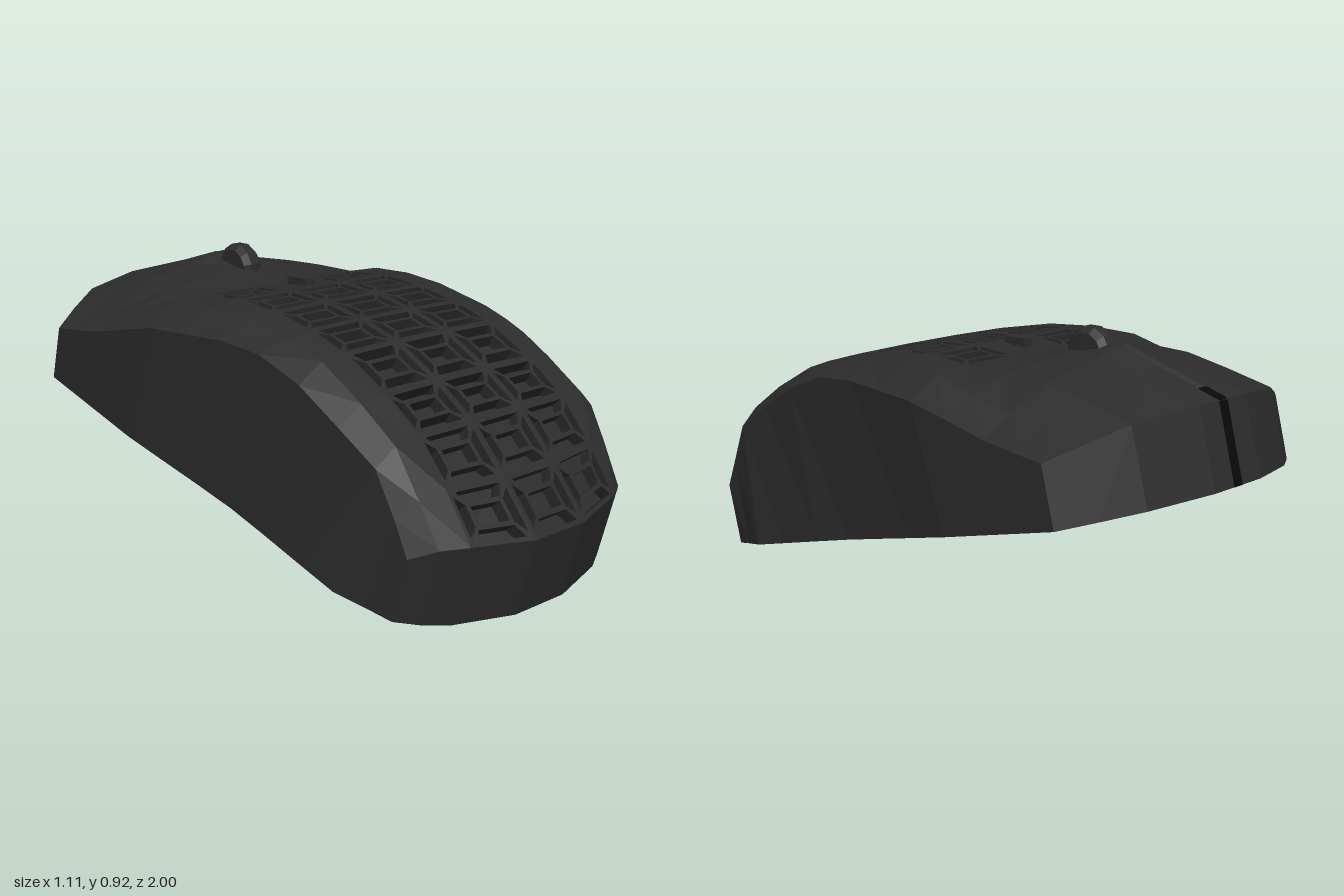
import * as THREE from 'three';
import { mergeGeometries } from 'three/addons/utils/BufferGeometryUtils.js';

// Local frame: s runs along the flat base from rear (0) to button end (2), h is height above the base.
const RIDGE = [[0, .26], [.166, .38], [.328, .481], [.488, .536], [.675, .578], [.832, .582], [.994, .569],
  [1.165, .535], [1.33, .478], [1.495, .468], [1.66, .461], [1.82, .363], [2, .253]];
const INNER = [[.057, .264], [.19, .378], [.335, .476], [.488, .532], [.675, .574], [.832, .578], [.994, .566],
  [1.165, .533], [1.33, .477], [1.49, .435], [1.645, .388], [1.785, .32], [1.933, .243]];
const SHOULDER = [[.41, .1, .25], [.42, .2, .355], [.42, .328, .465], [.42, .488, .52], [.415, .675, .565],
  [.415, .832, .57], [.42, .994, .56], [.44, 1.165, .525], [.46, 1.33, .472], [.46, 1.47, .395],
  [.46, 1.6, .325], [.45, 1.73, .27], [.45, 1.86, .215]];
const EDGE = [[.475, .152, .21], [.478, .227, .3], [.487, .325, .41], [.495, .488, .46], [.503, .66, .51],
  [.51, .84, .526], [.522, 1, .499], [.54, 1.15, .455], [.555, 1.3, .41], [.555, 1.45, .335],
  [.555, 1.58, .27], [.555, 1.69, .225], [.555, 1.787, .189]];
const BASE = [[.475, .152], [.495, .227], [.53, .343], [.527, .488], [.522, .675], [.52, .832], [.53, .994],
  [.543, 1.165], [.555, 1.333], [.555, 1.45], [.555, 1.58], [.555, 1.69], [.555, 1.787]];
const CROWN = { 9: .458, 10: .427, 11: .35 };   // height at x = 0.11 where the buttons fall away
const LAST = RIDGE.length - 1;
const TILT = 0.2656;

// Half cross-sections from the centre line out to the base edge, as [x, s, h]
const rows = RIDGE.map(([s, h], i) => [
  [0, s, i > 8 ? h - .02 : h],                  // split between the buttons
  [.015, s, h],
  [.11, s, CROWN[i] ?? h],
  [.33, ...INNER[i]],
  SHOULDER[i],
  EDGE[i],
  [...BASE[i], 0],
]);

const toLocal = ([x, s, h], side = 1) => [x * side, h, -s];

function quad(out, a, b, c, d, side) {
  const p = [a, b, c, d].map(v => toLocal(v, side));
  const order = side > 0 ? [0, 1, 2, 0, 2, 3] : [0, 2, 1, 0, 3, 2];
  for (const k of order) out.push(...p[k]);
}

function flatGeometry(positions) {
  const g = new THREE.BufferGeometry();
  g.setAttribute('position', new THREE.Float32BufferAttribute(positions, 3));
  g.computeVertexNormals();
  return g;
}

// Grille openings left in the shell
const isGrille = (i, j) => (j < 2 && i < 7) || (j === 2 && i < 8);

function shellGeometry() {
  const out = [];
  const ground = ([x, s]) => [x, s, 0];
  for (const side of [1, -1]) {
    for (let i = 0; i < LAST; i++) {
      for (let j = 0; j < 6; j++) {
        if (isGrille(i, j)) continue;
        quad(out, rows[i][j], rows[i][j + 1], rows[i + 1][j + 1], rows[i + 1][j], side);
      }
    }
    // upright rear and button-end walls
    for (let j = 0; j < 5; j++) {
      const [r, f] = [rows[0], rows[LAST]];
      quad(out, ground(r[j]), ground(r[j + 1]), r[j + 1], r[j], side);
      quad(out, f[j], f[j + 1], ground(f[j + 1]), ground(f[j]), side);
    }
  }
  return flatGeometry(out);
}

// Point on the upper surface at x, between rows i and i + 1, lifted by w along the row normal
function onSurface(x, i, t, w) {
  const ax = Math.abs(x);
  const k = Math.min(1, Math.max(0, (ax - .11) / .22));
  const at = r => [1, 2].map(c => THREE.MathUtils.lerp(rows[r][2][c], rows[r][3][c], k));
  const [a, b] = [at(i), at(i + 1)];
  const ds = RIDGE[i + 1][0] - RIDGE[i][0], dh = RIDGE[i + 1][1] - RIDGE[i][1];
  const len = Math.hypot(ds, dh);
  const s = THREE.MathUtils.lerp(a[0], b[0], t) - dh / len * w;
  const h = THREE.MathUtils.lerp(a[1], b[1], t) + ds / len * w;
  return [x, s, h];
}

// One grille cell: outer ribs, four diagonals and an inner ring
function cellShape() {
  const poly = pts => pts.map(p => new THREE.Vector2(...p));
  const shape = new THREE.Shape(poly([[-.11, -.09], [.11, -.09], [.11, .09], [-.11, .09]]));
  const a = .098, b = .077, g = .014, c = .068, d = .042;
  for (const m of [1, -1]) {
    shape.holes.push(new THREE.Path(poly([[-a + g, b * m], [a - g, b * m], [c - .006, d * m], [-c + .006, d * m]])));
    shape.holes.push(new THREE.Path(poly([[a * m, b - g], [a * m, -b + g], [c * m, -d + .008], [c * m, d - .008]])));
  }
  shape.holes.push(new THREE.Path(poly([[-.054, -.028], [.054, -.028], [.054, .028], [-.054, .028]])));
  return shape;
}

function grilleGeometries() {
  const depth = .04, cells = [], floor = [];
  const flat = new THREE.ExtrudeGeometry(cellShape(), { depth, bevelEnabled: false });
  for (let i = 0; i < 8; i++) {
    for (const cx of [-.22, 0, .22]) {
      if (i === 7 && cx === 0) continue;
      const g = flat.clone(), p = g.attributes.position;
      for (let n = 0; n < p.count; n++) {
        const v = onSurface(cx + p.getX(n), i, p.getY(n) / .18 + .5, p.getZ(n) - depth);
        p.setXYZ(n, ...toLocal(v));
      }
      g.computeVertexNormals();
      cells.push(g);
      const f = (x, t) => onSurface(cx + x, i, t, -depth - .003);
      quad(floor, f(-.11, 0), f(.11, 0), f(.11, 1), f(-.11, 1), 1);
    }
  }
  return [mergeGeometries(cells), flatGeometry(floor)];
}

function undersideGeometry() {
  const half = [...rows[0].slice(0, 5), ...BASE, ...rows[LAST].slice(0, 5).reverse()];
  const outline = [...half, ...half.slice(1, -1).reverse().map(([x, s]) => [-x, s])];
  const g = new THREE.ShapeGeometry(new THREE.Shape(outline.map(([x, s]) => new THREE.Vector2(x, -s))));
  return g.rotateX(Math.PI / 2);
}

export function createModel() {
  const charcoal = new THREE.MeshStandardMaterial({ color: 0x2c2c2c });
  charcoal.name = 'charcoal plastic';
  const black = new THREE.MeshStandardMaterial({ color: 0x0a0a0a });
  black.name = 'black';

  const body = new THREE.Group();
  body.name = 'mouse';
  const add = (name, geometry, material, pos = [0, 0, 0]) => {
    const mesh = new THREE.Mesh(geometry, material);
    mesh.name = name;
    mesh.position.set(...pos);
    body.add(mesh);
    return mesh;
  };

  add('shell', shellGeometry(), charcoal);
  const [ribs, floor] = grilleGeometries();
  add('grilleRibs', ribs, charcoal);
  add('grilleFloor', floor, charcoal);
  add('underside', undersideGeometry(), black);

  // Scroll wheel with chamfered rims
  const profile = [[0, -.037], [.066, -.037], [.085, -.018], [.085, .018], [.066, .037], [0, .037]];
  const wheel = new THREE.LatheGeometry(profile.map(p => new THREE.Vector2(...p)), 12).toNonIndexed();
  wheel.computeVertexNormals();
  wheel.rotateZ(Math.PI / 2);
  add('scrollWheel', wheel, charcoal, [0, .446, -1.541]);

  // Small button behind the wheel
  const button = add('topButton', new THREE.BoxGeometry(.036, .04, .09), charcoal, [0, .517, -1.235]);
  button.rotation.x = -TILT;

  // Dark slot between the buttons, on the end wall and its top edge
  add('slotWall', new THREE.BoxGeometry(.036, .25, .006), black, [0, .125, -2]);
  const slotTop = add('slotTop', new THREE.BoxGeometry(.036, .006, .075), black, [0, .273, -1.967]);
  slotTop.rotation.x = -Math.atan2(.11, .18);

  body.rotation.x = TILT;
  body.position.z = .93;
  const model = new THREE.Group();
  model.name = 'tiltedMouse';
  model.add(body);
  return model;
}
